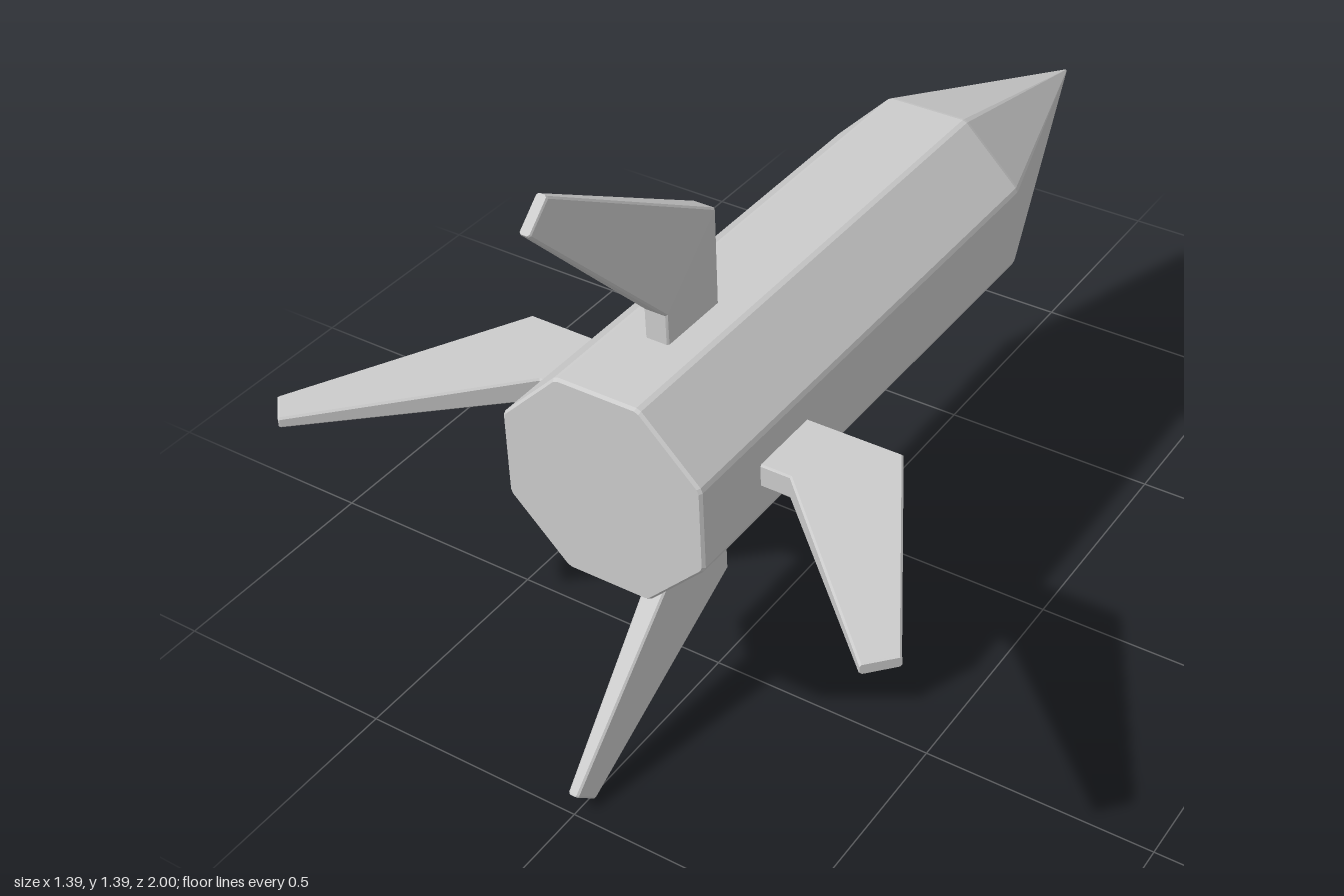
import * as THREE from 'three';

const material = new THREE.MeshStandardMaterial({
  color: 0xcccccc,
  flatShading: true,
});

// Skin a list of equal-length rings, each counter-clockwise about the direction of travel, with end caps
function loft(name, rings) {
  const pos = [];
  const tri = (a, b, c) => pos.push(...a, ...b, ...c);
  const n = rings[0].length;
  for (let i = 0; i < rings.length - 1; i++) {
    for (let j = 0; j < n; j++) {
      const k = (j + 1) % n;
      const [a, b, c, d] = [rings[i][j], rings[i][k], rings[i + 1][k], rings[i + 1][j]];
      tri(a, b, c);
      tri(a, c, d);
    }
  }
  const first = rings[0], last = rings[rings.length - 1];
  for (let j = 1; j < n - 1; j++) {
    tri(first[0], first[j + 1], first[j]);
    tri(last[0], last[j], last[j + 1]);
  }
  const geometry = new THREE.BufferGeometry();
  geometry.setAttribute('position', new THREE.Float32BufferAttribute(pos, 3));
  geometry.computeVertexNormals();
  const mesh = new THREE.Mesh(geometry, material);
  mesh.name = name;
  return mesh;
}

// Octagon with narrow chamfered corners; apothem r, lying at z
function octagon(r, z) {
  const ring = [];
  for (let i = 0; i < 8; i++) {
    const a = (i * Math.PI) / 4;
    for (const s of [-0.388, 0.388]) {
      const t = s * r;
      ring.push([r * Math.cos(a) - t * Math.sin(a), r * Math.sin(a) + t * Math.cos(a), z]);
    }
  }
  return ring;
}

// Chamfered rectangle across a fin, between its leading and trailing edge points [radius, z]
function finSection([r0, z0], [r1, z1], half, c = 0.004) {
  const length = Math.hypot(r1 - r0, z1 - z0);
  const point = (d, x) => {
    const f = d / length;
    return [x, r0 + (r1 - r0) * f, z0 + (z1 - z0) * f];
  };
  const L = length, h = half;
  return [
    point(L, -h + c), point(L, h - c), point(L - c, h), point(c, h),
    point(0, h - c), point(0, -h + c), point(c, -h), point(L - c, -h),
  ];
}

export function createModel() {
  const rocket = new THREE.Group();
  rocket.name = 'rocket';
  rocket.position.y = 0.695;

  // Hull with a softened rear rim
  rocket.add(loft('body', [octagon(0.222, -0.337), octagon(0.222, 0.839), octagon(0.217, 0.845)]));

  // Pointed nose
  rocket.add(loft('noseCone', [octagon(0.003, -1), octagon(0.22, -0.345), octagon(0.222, -0.337)]));

  // Four cranked fins: straight root, then a swept tapering blade
  const names = ['topFin', 'rightFin', 'bottomFin', 'leftFin'];
  names.forEach((name, i) => {
    const fin = loft(name, [
      finSection([0.2, 0.49], [0.2, 0.655], 0.026),
      finSection([0.43, 0.49], [0.286, 0.655], 0.026),
      finSection([0.692, 0.942], [0.641, 0.998], 0.012),
      finSection([0.695, 0.945], [0.644, 1.0], 0.01),
    ]);
    fin.rotation.z = (i * Math.PI) / 2;
    rocket.add(fin);
  });

  const model = new THREE.Group();
  model.name = 'model';
  model.add(rocket);
  return model;
}
